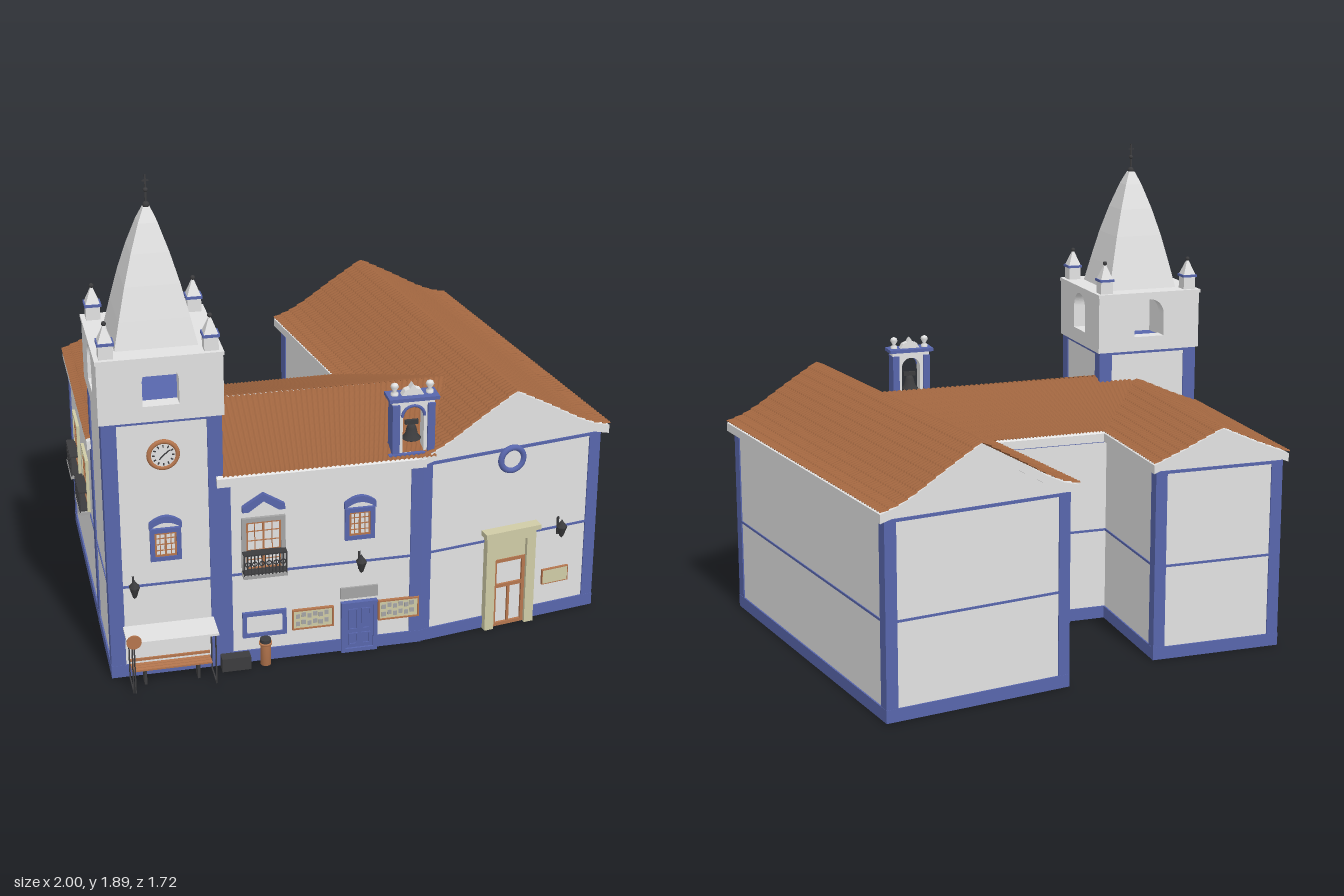
import * as THREE from 'three';

const mat = (name, color) => Object.assign(new THREE.MeshStandardMaterial({ color }), { name });
const wall = mat('whitewash', 0xe2e2e2), blue = mat('blue paint', 0x5866ac), wood = mat('orange wood', 0xb5764e);
const iron = mat('dark iron', 0x3c3c3e), stone = mat('cream stone', 0xcfcba6), grey = mat('grey stone', 0xa4a4a4);
const tile = mat('roof tile', 0xa0653f);
tile.side = THREE.DoubleSide;

function add(p, name, geo, m, x = 0, y = 0, z = 0) {
  const o = new THREE.Mesh(geo, m);
  o.name = name; o.position.set(x, y, z); p.add(o);
  return o;
}
function group(p, name, x = 0, y = 0, z = 0, ry = 0) {
  const g = new THREE.Group();
  g.name = name; g.position.set(x, y, z); g.rotation.y = ry; p.add(g);
  return g;
}
// Box given by its extents
const box = (p, name, m, x0, x1, y0, y1, z0, z1) =>
  add(p, name, new THREE.BoxGeometry(x1 - x0, y1 - y0, z1 - z0), m, (x0 + x1) / 2, (y0 + y1) / 2, (z0 + z1) / 2);
const poly = pts => new THREE.Shape(pts.map(([x, y]) => new THREE.Vector2(x, y)));
const extrude = (p, name, shape, m, z0, z1) =>
  add(p, name, new THREE.ExtrudeGeometry(shape, { depth: z1 - z0, bevelEnabled: false, curveSegments: 16 }), m, 0, 0, z0);
const lathe = (p, name, pts, m, x, y, z, n = 16) =>
  add(p, name, new THREE.LatheGeometry(pts.map(([r, h]) => new THREE.Vector2(r, h)), n), m, x, y, z);
// Four-sided tapering solid with flat faces; radii are half widths
function pyramid(p, name, pts, m, x, y, z) {
  const o = lathe(p, name, pts.map(([r, h]) => [r * Math.SQRT2, h]), m, x, y, z, 4);
  o.geometry = o.geometry.toNonIndexed(); o.geometry.computeVertexNormals(); o.rotation.y = Math.PI / 4;
  return o;
}
function frame(p, name, m, x0, x1, y0, y1, t, z1) {
  box(p, name, m, x0, x0 + t, y0, y1, 0, z1); box(p, name, m, x1 - t, x1, y0, y1, 0, z1);
  box(p, name, m, x0 + t, x1 - t, y0, y0 + t, 0, z1); box(p, name, m, x0 + t, x1 - t, y1 - t, y1, 0, z1);
}
function archedWall(p, name, hw, y0, y1, r, sill, spring, z0, z1) {
  const s = poly([[-hw, y0], [hw, y0], [hw, y1], [-hw, y1]]), h = new THREE.Path();
  h.moveTo(-r, sill); h.lineTo(-r, spring); h.absarc(0, spring, r, Math.PI, 0, true); h.lineTo(r, sill); h.closePath();
  s.holes.push(h);
  return extrude(p, name, s, wall, z0, z1);
}
function bell(p, x, y, z, s) {
  lathe(p, 'bell', [[0.034, 0], [0.036, 0.004], [0.024, 0.018], [0.018, 0.045], [0.012, 0.056], [0, 0.06]], iron, x, y, z).scale.setScalar(s);
  add(p, 'clapper', new THREE.SphereGeometry(0.009 * s, 8, 6), iron, x, y, z);
  box(p, 'bellYoke', iron, x - 0.025 * s, x + 0.025 * s, y + 0.058 * s, y + 0.075 * s, z - 0.006, z + 0.006);
}

// Height of a roof profile at distance x from the ridge
function yAt(prof, x) {
  for (let i = 1; i < prof.length; i++) {
    const [a, b] = [prof[i - 1], prof[i]];
    if (x <= b[0] + 1e-6) return a[1] + (b[1] - a[1]) * (x - a[0]) / (b[0] - a[0]);
  }
  return prof[prof.length - 1][1];
}
// One slope of rolled tiles in overlapping rows; ridge and eave give its ends along the ridge
function slope(p, prof, ridge, eave, ry) {
  const out = prof[prof.length - 1][0], rows = Math.round(out / 0.036);
  const n = Math.round((ridge[1] - ridge[0]) / 0.021) * 4, pos = [], idx = [];
  for (let k = 0; k < rows * 2; k++) {
    const t = Math.ceil(k / 2) / rows, d = t * out;
    for (let i = 0; i <= n; i++) {
      const a = ridge[0] + (eave[0] - ridge[0]) * t, b = ridge[1] + (eave[1] - ridge[1]) * t;
      const lift = 0.006 * Math.abs(Math.sin(i * Math.PI / 4)) + (k % 2 ? 0.005 : 0);
      pos.push(a + (b - a) * i / n, yAt(prof, d) + lift, d);
      if (k && i) {
        const c = k * (n + 1) + i, u = c - n - 1;
        idx.push(u - 1, c - 1, u, u, c - 1, c);
      }
    }
  }
  const g = new THREE.BufferGeometry();
  g.setAttribute('position', new THREE.Float32BufferAttribute(pos, 3));
  g.setIndex(idx); g.computeVertexNormals();
  add(p, 'roofTiles', g, tile).rotation.y = ry;
}
// Blue plinth, string course, top band and corner pilasters around a block
function trim(p, hw, z0, z1, top, pw = 0.042) {
  const band = (name, y0, y1, e) => box(p, name, blue, -hw - e, hw + e, y0, y1, z0 - e, z1 + e);
  band('plinth', 0.002, 0.052, 0.006); band('stringCourse', 0.377, 0.386, 0.004); band('topBand', top - 0.012, top, 0.005);
  for (const sx of [-1, 1]) for (const [zc, sz] of [[z0, -1], [z1, 1]])
    box(p, 'cornerPilaster', blue, ...[sx * (hw - pw), sx * (hw + 0.005)].sort((a, b) => a - b), 0.002, top,
      ...[zc - sz * pw, zc + sz * 0.005].sort((a, b) => a - b));
}
// Gabled block with its ridge along z
function gabled(p, hw, z0, z1, prof, over) {
  const line = (dy, lim) => {
    const half = prof.filter(q => q[0] < lim - 0.001).map(([x, y]) => [x, y + dy]).concat([[lim, yAt(prof, lim) + dy]]);
    return half.slice(1).reverse().map(([x, y]) => [-x, y]).concat(half);
  };
  extrude(p, 'walls', poly([[-hw, 0], [hw, 0], ...line(-0.03, hw).reverse()]), wall, z0, z1);
  const end = prof[prof.length - 1][0] - 0.004;
  extrude(p, 'cornice', poly([...line(-0.038, end), ...line(-0.004, end).reverse()]), wall, z0 - over, z1 + over);
  box(p, 'eaveMoulding', wall, -hw - 0.014, hw + 0.014, 0.765, 0.782, z0 + 0.002, z1 - 0.002);
  trim(p, hw, z0, z1, 0.764);
}

// Wooden sash in a surround; w and heights are of the surround
function sash(p, w, y0, y1, m, cols = 4, rows = 4) {
  const h = w / 2, t = 0.017;
  box(p, 'pane', wall, -h + t, h - t, y0 + t, y1 - t, 0, 0.004);
  frame(p, 'windowSurround', m, -h, h, y0, y1, t, 0.012);
  frame(p, 'sashFrame', wood, -h + t, h - t, y0 + t, y1 - t, 0.007, 0.008);
  for (let i = 1; i < cols; i++) {
    const x = -h + t + (w - 2 * t) * i / cols, b = i * 2 === cols ? 0.004 : 0.0016;
    box(p, 'glazingBar', wood, x - b, x + b, y0 + t, y1 - t, 0.003, 0.007);
  }
  for (let i = 1; i < rows; i++) {
    const y = y0 + t + (y1 - y0 - 2 * t) * i / rows;
    box(p, 'glazingBar', wood, -h + t, h - t, y - 0.0016, y + 0.0016, 0.003, 0.007);
  }
}
function archedWindow(p, x, z) {
  const g = group(p, 'archedWindow', x, 0, z), s = new THREE.Shape();
  sash(g, 0.115, 0.48, 0.612, blue);
  s.moveTo(-0.06, 0.612); s.lineTo(-0.06, 0.637); s.quadraticCurveTo(0, 0.69, 0.06, 0.637); s.lineTo(0.06, 0.612);
  s.quadraticCurveTo(0, 0.665, -0.06, 0.612);
  extrude(g, 'windowHood', s, blue, 0, 0.016);
}
function balconyWindow(p, x, z, ry, m) {
  const g = group(p, 'balconyWindow', x, 0, z, ry);
  sash(g, 0.165, 0.385, 0.615, m, 4, 5);
  box(g, 'balconySlab', grey, -0.083, 0.083, 0.38, 0.392, 0, 0.045);
  for (const y of [0.4, 0.478]) frame(group(g, 'rail', 0, y, 0, 0), 'railBar', iron, -0.082, 0.082, -0.003, 0.003, 0.003, 0.044);
  for (let i = 0; i <= 12; i++) box(g, 'baluster', iron, -0.082 + i * 0.0133, -0.078 + i * 0.0133, 0.392, 0.478, 0.038, 0.043);
  for (let i = 0; i < 6; i++) add(g, 'railScroll', new THREE.TorusGeometry(0.009, 0.0025, 5, 10), iron, -0.067 + i * 0.0268, 0.44, 0.041);
  return g;
}
function lamp(p, x, z) {
  const g = group(p, 'wallLamp', x, 0, z);
  box(g, 'lampBracket', iron, -0.004, 0.004, 0.35, 0.425, 0, 0.006);
  box(g, 'lampArm', iron, -0.003, 0.003, 0.36, 0.367, 0, 0.04);
  lathe(g, 'lantern', [[0, 0.35], [0.008, 0.358], [0.02, 0.395], [0.022, 0.4], [0.007, 0.418], [0, 0.43]], iron, 0, 0, 0.035, 6);
}

function buildTower(root) {
  const t = group(root, 'tower', -0.742, 0, 0.51);
  box(t, 'towerShaft', wall, -0.213, 0.213, 0, 1.045, -0.213, 0.213);
  trim(t, 0.213, -0.213, 0.213, 1.046, 0.05);
  for (let i = 0; i < 4; i++) archedWall(group(t, 'belfrySide', 0, 0, 0, i * Math.PI / 2), 'belfryWall', 0.226, 1.046, 1.285, 0.066, 1.106, 1.198, 0.17, 0.226);
  box(t, 'belfryCap', wall, -0.23, 0.23, 1.28, 1.294, -0.23, 0.23);
  pyramid(t, 'spire', [[0.15, 0], [0.128, 0.1], [0.1, 0.22], [0.069, 0.33], [0.035, 0.43], [0.013, 0.48], [0, 0.485]], wall, 0, 1.293, 0);
  box(t, 'finialRod', iron, -0.003, 0.003, 1.77, 1.89, -0.003, 0.003);
  box(t, 'finialBar', iron, -0.012, 0.012, 1.866, 1.871, -0.002, 0.002);
  for (const [y, r] of [[1.78, 0.013], [1.835, 0.009]]) add(t, 'finialBall', new THREE.SphereGeometry(r, 12, 8), iron, 0, y, 0);
  for (const x of [-0.187, 0.187]) for (const z of [-0.187, 0.187]) {
    const c = group(t, 'pinnacle', x, 1.293, z);
    box(c, 'pinnacleBase', wall, -0.026, 0.026, 0, 0.052, -0.026, 0.026);
    box(c, 'pinnacleBand', blue, -0.031, 0.031, 0.052, 0.062, -0.031, 0.031);
    pyramid(c, 'pinnacleTip', [[0.026, 0], [0.004, 0.058], [0, 0.06]], wall, 0, 0.062, 0);
    add(c, 'pinnacleBall', new THREE.SphereGeometry(0.009, 10, 8), iron, 0, 0.127, 0);
  }
  bell(t, 0, 1.185, 0, 1);
  box(t, 'bellBeam', iron, -0.2, 0.2, 1.258, 1.266, -0.005, 0.005);
  // Clock
  const k = group(t, 'clock', 0.002, 0.908, 0.213);
  add(k, 'clockFace', new THREE.CylinderGeometry(0.047, 0.047, 0.008, 32), wall, 0, 0, 0.004).rotation.x = Math.PI / 2;
  add(k, 'clockRing', new THREE.TorusGeometry(0.052, 0.009, 8, 36), wood, 0, 0, 0.004);
  for (let i = 0; i < 12; i++) box(group(k, 'hourMark'), 'mark', iron, -0.0025, 0.0025, 0.031, 0.041, 0.006, 0.0095).parent.rotation.z = i * Math.PI / 6;
  for (const [a, l] of [[-0.9, 0.03], [2.4, 0.022]]) box(group(k, 'clockHand'), 'hand', iron, -0.002, 0.002, -0.004, l, 0.008, 0.011).parent.rotation.z = a;
  archedWindow(t, 0, 0.213);
  lamp(t, -0.125, 0.216);
}

function buildBellGable(root) {
  const g = group(root, 'bellGable', 0.19, 0, 0.69);
  archedWall(g, 'bellGableWall', 0.08, 0.79, 1.03, 0.04, 0.815, 0.96, -0.025, 0.025);
  for (const s of [-1, 1]) {
    box(g, 'gablePillar', blue, s * 0.067 - 0.014, s * 0.067 + 0.014, 0.79, 1.01, -0.034, 0.034);
    lathe(g, 'gableUrn', [[0.014, 0], [0.014, 0.012], [0.006, 0.018], [0.016, 0.036], [0.012, 0.046], [0, 0.052]], wall, s * 0.067, 1.038, 0);
  }
  add(g, 'archBand', new THREE.TorusGeometry(0.042, 0.006, 6, 20, Math.PI), blue, 0, 0.96, 0.025);
  box(g, 'gableLintel', blue, -0.095, 0.095, 1.026, 1.04, -0.042, 0.042);
  box(g, 'gableSill', blue, -0.095, 0.095, 0.80, 0.815, -0.04, 0.04);
  extrude(g, 'gableCrest', poly([[-0.042, 1.04], [0.042, 1.04], [0.03, 1.06], [0.012, 1.066], [0, 1.085], [-0.012, 1.066], [-0.03, 1.06]]), wall, -0.015, 0.015);
  bell(g, 0, 0.86, 0, 1);
}

function buildMainFront(root) {
  const f = group(root, 'mainFront', 0, 0, 0.72);
  archedWindow(f, -0.012, 0);
  balconyWindow(f, -0.378, 0, 0, grey);
  extrude(f, 'pediment', poly([[-0.458, 0.645], [-0.435, 0.645], [-0.378, 0.685], [-0.321, 0.645], [-0.298, 0.645], [-0.298, 0.665], [-0.378, 0.715], [-0.458, 0.665]]), blue, 0, 0.02);
  // Door with raised panels
  box(f, 'door', blue, -0.068, 0.042, 0, 0.2, 0, 0.012);
  frame(f, 'doorFrame', blue, -0.083, 0.057, 0, 0.215, 0.016, 0.02);
  for (const x of [-0.037, 0.013]) for (const [a, b] of [[0.03, 0.08], [0.095, 0.185]])
    frame(group(f, 'doorPanel', x, 0, 0.008), 'panelEdge', blue, -0.017, 0.017, a, b, 0.005, 0.009);
  box(f, 'plaque', grey, -0.085, 0.06, 0.228, 0.275, 0, 0.008);
  // Notice boards
  frame(f, 'noticeFrame', blue, -0.462, -0.294, 0.11, 0.216, 0.016, 0.012);
  box(f, 'noticePane', wall, -0.446, -0.31, 0.126, 0.2, 0, 0.006);
  for (const x of [-0.192, 0.142]) {
    const b = group(f, 'noticeBoard', x);
    box(b, 'board', stone, -0.075, 0.075, 0.125, 0.2, 0, 0.008);
    frame(b, 'boardFrame', wood, -0.08, 0.08, 0.12, 0.205, 0.006, 0.012);
    for (let i = 0; i < 6; i++) for (let j = 0; j < 2; j++)
      box(b, 'paper', grey, -0.066 + i * 0.022, -0.05 + i * 0.022, 0.136 + j * 0.032 + (i % 2) * 0.006, 0.154 + j * 0.032 + (i % 2) * 0.006, 0.006, 0.011);
  }
  lamp(f, -0.012, 0);
  // Street furniture
  box(f, 'planter', iron, -0.55, -0.44, 0, 0.055, 0.012, 0.055);
  lathe(f, 'litterBin', [[0, 0], [0.02, 0], [0.02, 0.085], [0.025, 0.087], [0.025, 0.095], [0, 0.096]], wood, -0.38, 0.003, 0.032);
  add(f, 'binTop', new THREE.CylinderGeometry(0.021, 0.021, 0.014, 16), iron, -0.38, 0.105, 0.032);
}

function buildShelter(root) {
  const s = group(root, 'shelter', -0.742, 0, 0.735);
  box(s, 'shelterRoof', wall, -0.17, 0.17, 0.21, 0.219, -0.005, 0.118);
  for (const x of [-0.155, 0.155]) {
    frame(group(s, 'shelterSide', x, 0, 0.06, Math.PI / 2), 'shelterPost', iron, -0.055, 0.055, 0.004, 0.212, 0.005, 0.005);
  }
  for (let i = 0; i < 3; i++) box(s, 'benchSlat', wood, -0.15, 0.15, 0.062, 0.069, 0.015 + i * 0.018, 0.03 + i * 0.018);
  box(s, 'benchBack', wood, -0.15, 0.15, 0.076, 0.086, 0.008, 0.014);
  for (const x of [-0.1, 0.1]) box(s, 'benchLeg', iron, x - 0.005, x + 0.005, 0, 0.064, 0.015, 0.06);
  box(s, 'signPost', iron, -0.147, -0.142, 0, 0.225, 0.108, 0.113);
  add(s, 'signDisc', new THREE.CylinderGeometry(0.028, 0.028, 0.006, 24), wood, -0.145, 0.222, 0.118).rotation.x = Math.PI / 2;
}

function buildChurchFront(c) {
  const f = group(c, 'churchFront', 0, 0, 0.72);
  add(f, 'roundWindowPane', new THREE.CylinderGeometry(0.045, 0.045, 0.006, 32), wall, 0, 0.715, 0.003).rotation.x = Math.PI / 2;
  add(f, 'roundWindowRing', new THREE.TorusGeometry(0.047, 0.012, 10, 36), blue, 0, 0.715, 0.004);
  // Stone portal and wooden door
  for (const s of [-1, 1]) box(f, 'portalJamb', stone, s * 0.086 - 0.019, s * 0.086 + 0.019, 0, 0.385, 0, 0.03);
  box(f, 'portalLintel', stone, -0.105, 0.105, 0.375, 0.41, 0, 0.03);
  box(f, 'portalCornice', stone, -0.117, 0.117, 0.41, 0.43, 0, 0.045);
  box(f, 'portalInfill', stone, -0.068, 0.068, 0.295, 0.376, 0, 0.014);
  box(f, 'doorPane', wall, -0.068, 0.068, 0, 0.296, 0, 0.008);
  frame(f, 'churchDoorFrame', wood, -0.068, 0.068, 0.003, 0.296, 0.014, 0.018);
  box(f, 'doorTransom', wood, -0.06, 0.06, 0.172, 0.186, 0, 0.017);
  box(f, 'doorMullion', wood, -0.005, 0.005, 0.01, 0.18, 0, 0.016);
  box(f, 'stonePlaque', stone, 0.152, 0.262, 0.142, 0.202, 0, 0.01);
  frame(f, 'plaqueFrame', wood, 0.15, 0.264, 0.14, 0.204, 0.003, 0.011);
  lamp(f, 0.212, 0);
}

export function createModel() {
  const root = new THREE.Group();
  root.name = 'churchWithTower';
  // Angled church wing
  const church = group(root, 'church', 0.475, 0, -0.055, 0.168);
  const cp = [[0, 1.005], [0.13, 0.932], [0.27, 0.848], [0.34, 0.815], [0.407, 0.797]];
  gabled(church, 0.374, -0.718, 0.72, cp, 0.025);
  for (const s of [-1, 1]) slope(church, cp, [-0.747, 0.747], [-0.747, 0.747], s * Math.PI / 2);
  buildChurchFront(church);
  // Left wing
  const wing = group(root, 'leftWing', -0.692, 0, 0);
  const wp = [[0, 0.92], [0.15, 0.852], [0.287, 0.797]];
  gabled(wing, 0.262, -0.55, 0.31, wp, 0.022);
  slope(wing, wp, [-0.32, 0.575], [-0.32, 0.575], Math.PI / 2);
  slope(wing, wp, [-0.575, 0.32], [-0.575, 0.32], -Math.PI / 2);
  for (const z of [-0.28, 0.043]) balconyWindow(root, -0.954, z, -Math.PI / 2, stone);
  // Main block between tower and church
  const main = group(root, 'mainBlock', 0, 0, 0.345, Math.PI / 2);
  const mp = [[0, 0.935], [0.2, 0.865], [0.405, 0.797]];
  gabled(main, 0.375, -0.54, 0.227, mp, 0.01);
  slope(main, mp, [-0.54, 0.43], [-0.527, 0.27], -Math.PI / 2);
  slope(main, mp, [-0.43, 0.68], [-0.15, 0.6], Math.PI / 2);
  buildMainFront(root);
  buildBellGable(root);
  buildTower(root);
  buildShelter(root);
  return root;
}
